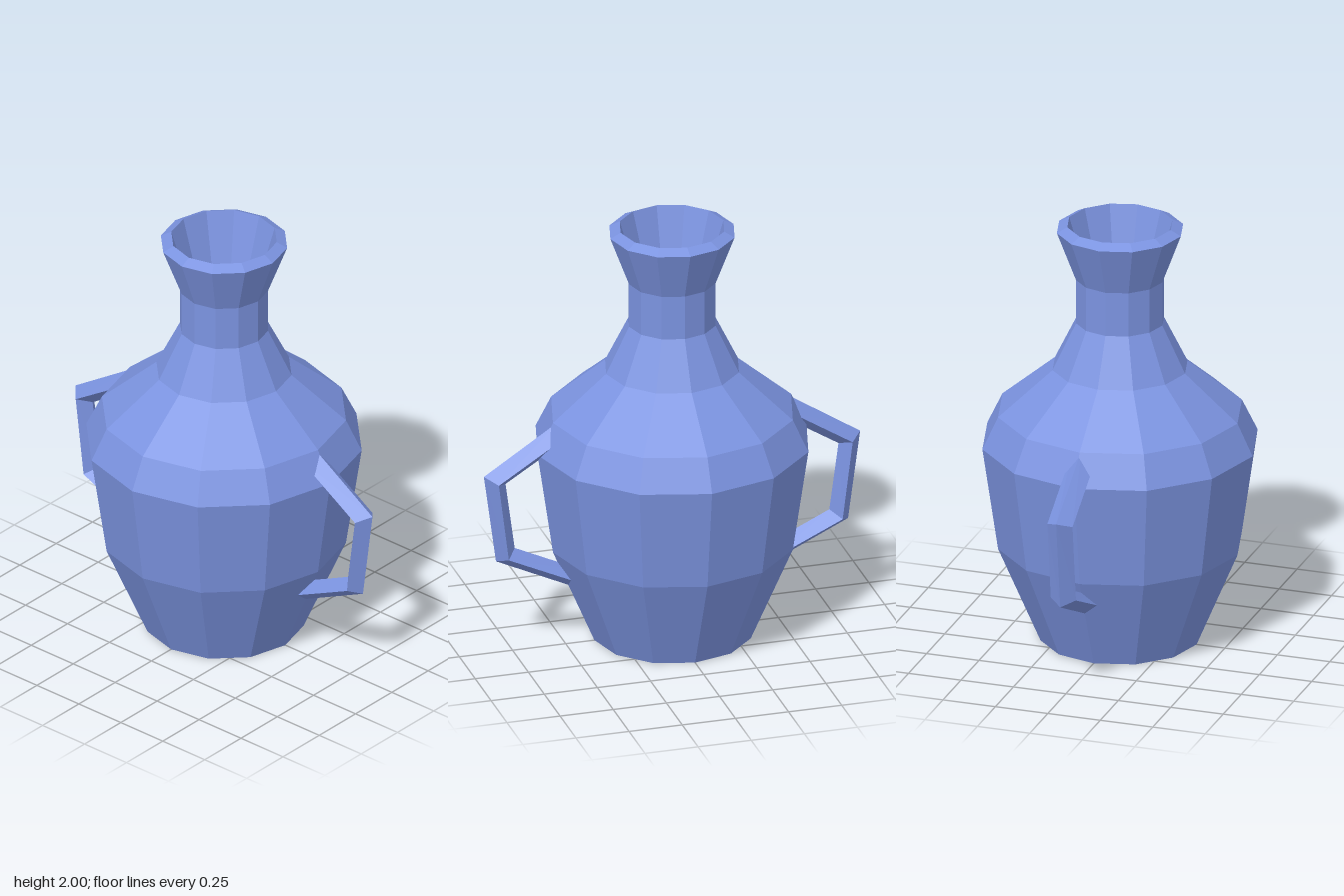
import * as THREE from 'three';

const material = new THREE.MeshStandardMaterial({ color: 0x7b93e0, flatShading: true });

// Diamond-section bar whose joints list the outer, middle and inner ridge [x, y]
function handleGeometry(joints, halfDepth) {
  const positions = [];
  const index = [];
  joints.forEach(([outer, middle, inner], i) => {
    positions.push(...outer, 0, ...middle, halfDepth, ...inner, 0, ...middle, -halfDepth);
    if (i === 0) return;
    for (let k = 0; k < 4; k++) {
      const next = (k + 1) % 4;
      const a = (i - 1) * 4 + k, b = (i - 1) * 4 + next;
      const c = i * 4 + k, d = i * 4 + next;
      index.push(b, d, c, b, c, a);
    }
  });
  // End caps
  const e = (joints.length - 1) * 4;
  index.push(0, 2, 1, 0, 3, 2, e, e + 1, e + 2, e, e + 2, e + 3);
  const geometry = new THREE.BufferGeometry();
  geometry.setAttribute('position', new THREE.Float32BufferAttribute(positions, 3));
  geometry.setIndex(index);
  geometry.computeVertexNormals();
  return geometry;
}

export function createModel() {
  const model = new THREE.Group();
  model.name = 'vase';

  // Twelve-sided hollow body: base, outer wall, rim, then inner wall to the floor
  const profile = [
    [0, 0], [0.365, 0], [0.56, 0.46], [0.632, 0.95], [0.56, 1.1], [0.31, 1.31],
    [0.202, 1.53], [0.202, 1.74], [0.29, 1.975], [0.242, 2],
    [0.165, 1.74], [0.165, 1.53], [0.25, 1.27], [0.45, 1.05], [0.52, 0.92],
    [0.46, 0.46], [0.3, 0.06], [0, 0.06],
  ].map(([r, y]) => new THREE.Vector2(r, y));
  const body = new THREE.Mesh(new THREE.LatheGeometry(profile, 12), material);
  body.name = 'body';
  model.add(body);

  // Two angular handles, from shoulder down to lower body
  const geometry = handleGeometry([
    [[0.53, 1.105], [0.5, 1.06], [0.475, 1.02]],
    [[0.885, 0.875], [0.832, 0.85], [0.783, 0.827]],
    [[0.828, 0.45], [0.785, 0.475], [0.74, 0.505]],
    [[0.45, 0.272], [0.43, 0.31], [0.41, 0.35]],
  ], 0.06);
  [['leftHandle', 0], ['rightHandle', Math.PI]].forEach(([name, angle]) => {
    const handle = new THREE.Mesh(geometry, material);
    handle.name = name;
    handle.rotation.y = angle;
    model.add(handle);
  });

  return model;
}
